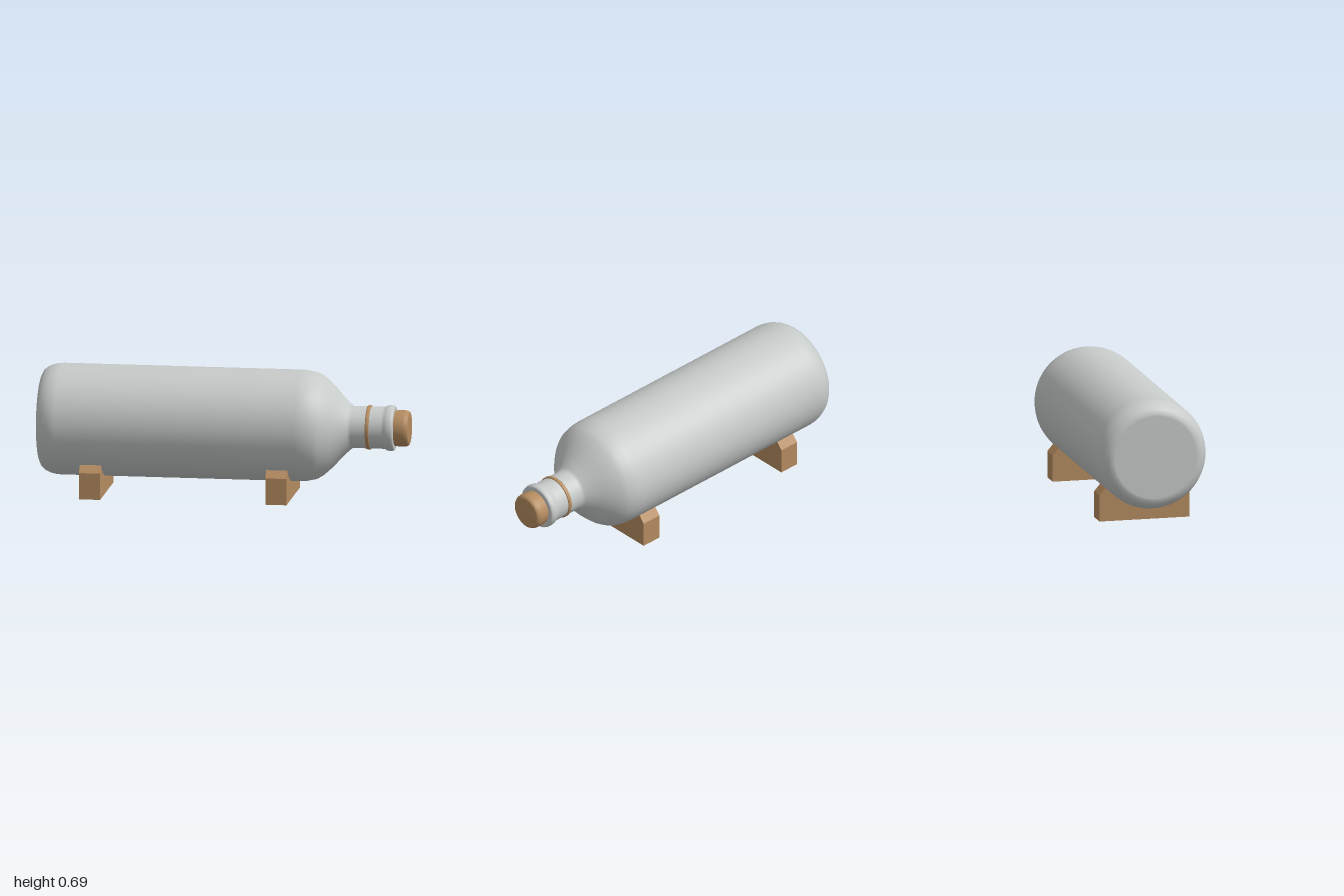
import * as THREE from 'three';

const AXIS_Y = 0.39;
const RADIUS = 0.3;

// Lathe turned onto the x axis; profile points are [radius, x].
function turned(name, profile, material) {
  const geometry = new THREE.LatheGeometry(profile.map(([r, x]) => new THREE.Vector2(r, x)), 96);
  geometry.rotateZ(-Math.PI / 2);
  const mesh = new THREE.Mesh(geometry, material);
  mesh.name = name;
  mesh.position.y = AXIS_Y;
  return mesh;
}

// Block with chamfered tips and a round seat for the bottle.
function cradle(name, x, width, material) {
  const tipZ = 0.217;
  const tipY = AXIS_Y - Math.sqrt(RADIUS ** 2 - tipZ ** 2);
  const angle = Math.atan2(tipY - AXIS_Y, tipZ);
  const shape = new THREE.Shape();
  shape.moveTo(-0.25, 0);
  shape.lineTo(0.25, 0);
  shape.lineTo(0.25, 0.144);
  shape.lineTo(tipZ, tipY);
  shape.absarc(0, AXIS_Y, RADIUS, angle, -Math.PI - angle, true);
  shape.lineTo(-0.25, 0.144);
  shape.closePath();
  const geometry = new THREE.ExtrudeGeometry(shape, { depth: width, bevelEnabled: false, curveSegments: 32 });
  geometry.translate(0, 0, -width / 2);
  geometry.rotateY(Math.PI / 2);
  const mesh = new THREE.Mesh(geometry, material);
  mesh.name = name;
  mesh.position.x = x;
  return mesh;
}

export function createModel() {
  const glass = new THREE.MeshStandardMaterial({ color: 0xc6cac8 });
  glass.name = 'pale grey glass';
  const wood = new THREE.MeshStandardMaterial({ color: 0xb58c60 });
  wood.name = 'light wood';

  const model = new THREE.Group();
  model.name = 'bottleOnCradles';

  // Base, body, shoulder, neck and lip
  model.add(turned('bottle', [
    [0, -1], [0.225, -1], [0.24, -0.998], [0.262, -0.988], [0.28, -0.967], [0.292, -0.94],
    [0.298, -0.915], [0.3, -0.89], [0.3, 0.41], [0.297, 0.45], [0.286, 0.5], [0.266, 0.533],
    [0.24, 0.563], [0.212, 0.592], [0.18, 0.62], [0.147, 0.652], [0.127, 0.674], [0.113, 0.69],
    [0.113, 0.857], [0.115, 0.868], [0.121, 0.877], [0.123, 0.89], [0.123, 0.905], [0.12, 0.915],
    [0.114, 0.919], [0.09, 0.919],
  ], glass));

  // Band around the neck
  model.add(turned('neckBand', [
    [0.11, 0.768], [0.117, 0.769], [0.119, 0.773], [0.119, 0.785], [0.117, 0.789], [0.11, 0.79],
  ], wood));

  // Stopper
  model.add(turned('cork', [
    [0.094, 0.9], [0.095, 0.92], [0.098, 0.945], [0.098, 0.97], [0.096, 0.985],
    [0.09, 0.995], [0.082, 0.998], [0, 1],
  ], wood));

  // Stand
  model.add(cradle('baseCradle', -0.705, 0.115, wood));
  model.add(cradle('shoulderCradle', 0.307, 0.115, wood));
  return model;
}
